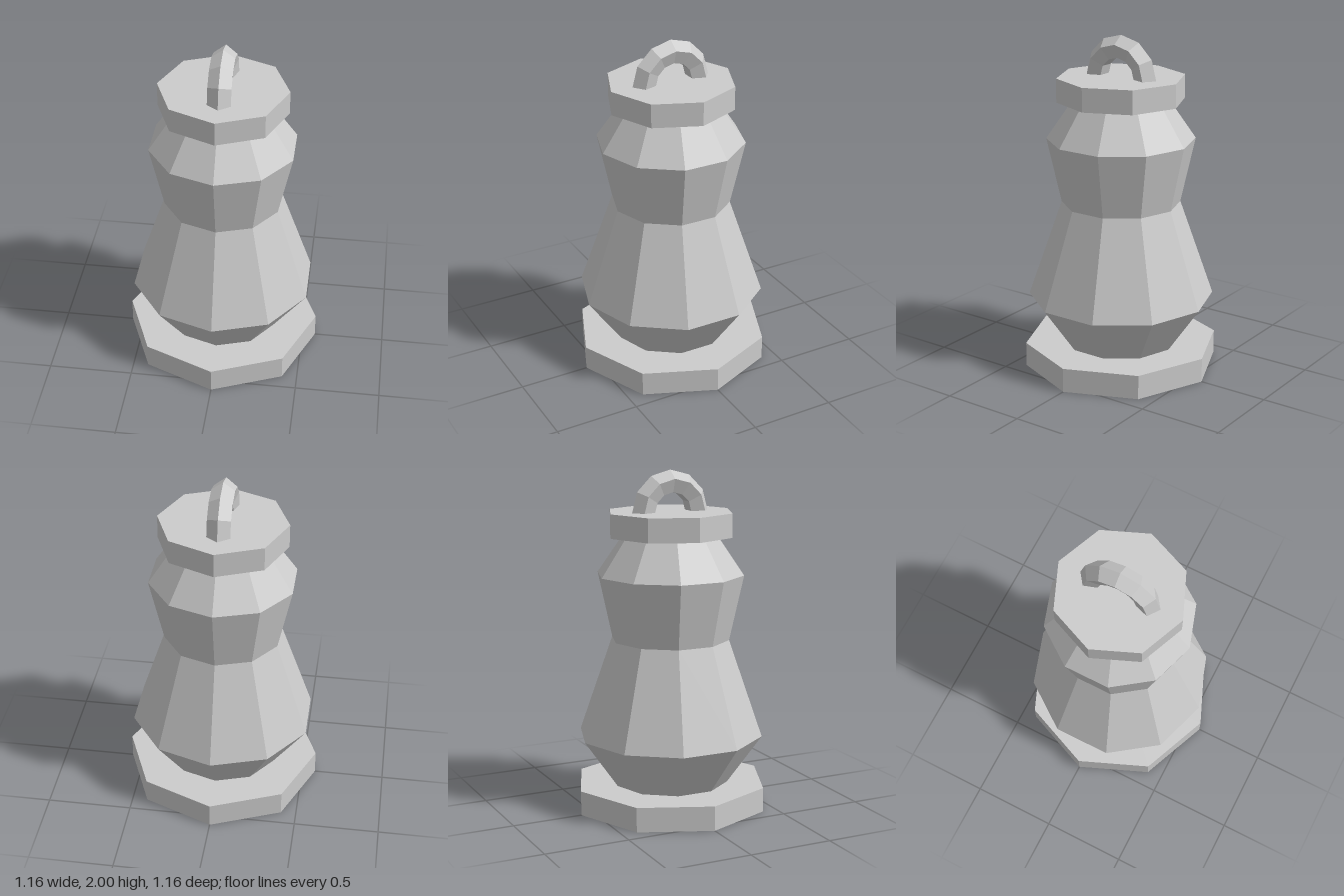
import * as THREE from 'three';

export function createModel() {
  const group = new THREE.Group();
  const material = new THREE.MeshStandardMaterial({ color: 0xcccccc, flatShading: true });

  function add(name, geometry, y = 0) {
    const mesh = new THREE.Mesh(geometry, material);
    mesh.name = name;
    mesh.position.y = y;
    group.add(mesh);
    return mesh;
  }

  // Octagonal foot and lid slabs
  add('base', new THREE.CylinderGeometry(0.58, 0.58, 0.145, 8), 0.0725);
  add('lid', new THREE.CylinderGeometry(0.376, 0.376, 0.14, 8), 1.69);

  // Ten-sided body with waist and shoulder, closed at both ends
  const profile = [
    [0, 0.145], [0.345, 0.145], [0.55, 0.435], [0.35, 1.01],
    [0.435, 1.395], [0.28, 1.62], [0, 1.62],
  ].map(([r, y]) => new THREE.Vector2(r, y));
  add('body', new THREE.LatheGeometry(profile, 10));

  // Half-ring handle with a five-sided section, standing front to back
  const handle = add('handle', new THREE.TorusGeometry(0.173, 0.07, 5, 6, Math.PI), 1.757);
  handle.rotation.y = Math.PI / 2;

  return group;
}
